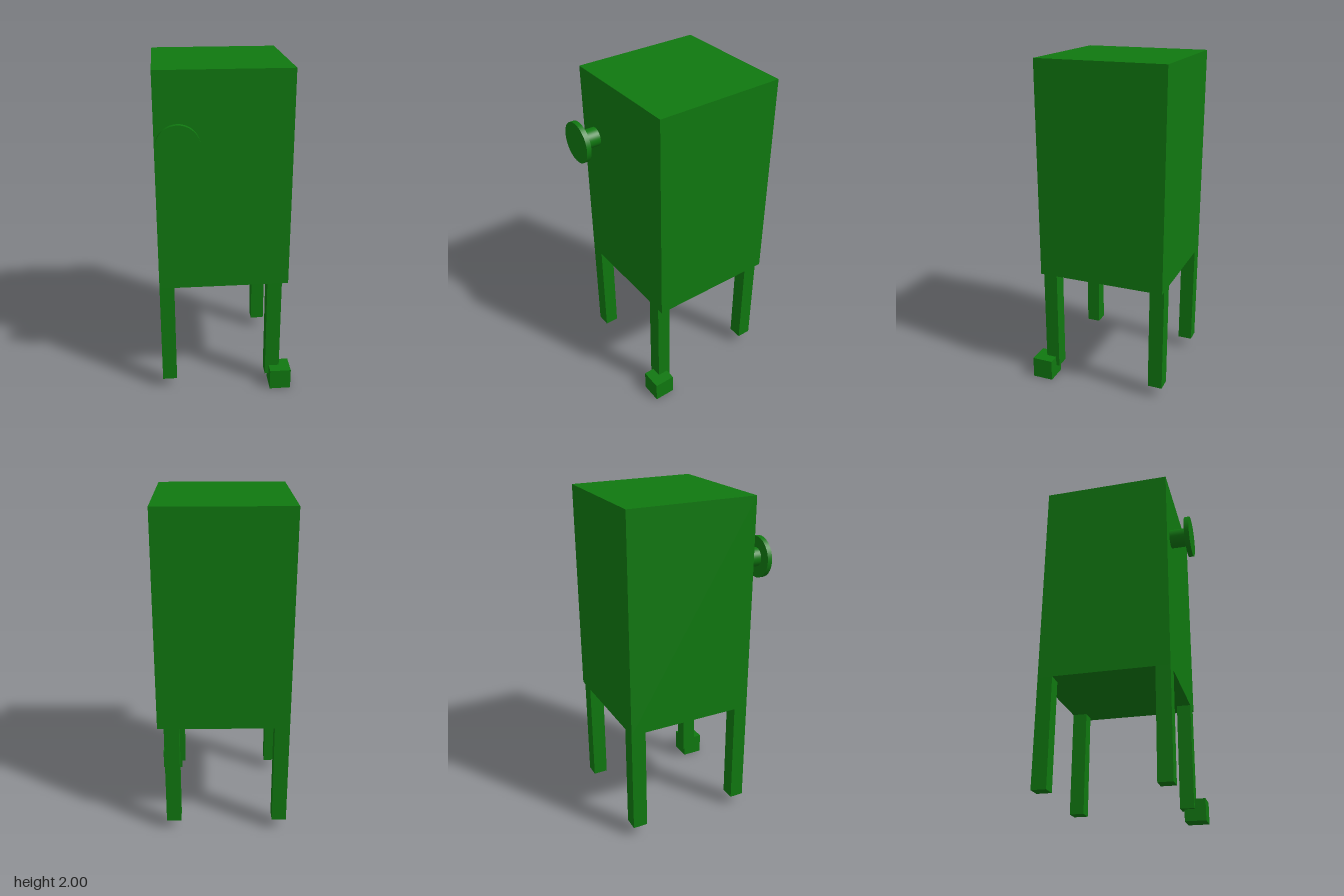
import * as THREE from 'three';

const green = new THREE.MeshStandardMaterial({ color: 0x107810 });

export function createModel() {
  const model = new THREE.Group();

  // Box spanning two opposite corners
  const addBox = (name, [x0, y0, z0], [x1, y1, z1]) => {
    const mesh = new THREE.Mesh(new THREE.BoxGeometry(x1 - x0, y1 - y0, z1 - z0), green);
    mesh.position.set((x0 + x1) / 2, (y0 + y1) / 2, (z0 + z1) / 2);
    mesh.name = name;
    model.add(mesh);
  };

  // Round part lying along z
  const addDisc = (name, radius, z0, z1) => {
    const geometry = new THREE.CylinderGeometry(radius, radius, z1 - z0, 48).rotateX(Math.PI / 2);
    const mesh = new THREE.Mesh(geometry, green);
    mesh.position.set(-0.272, 1.615, (z0 + z1) / 2);
    mesh.name = name;
    model.add(mesh);
  };

  // Cabinet body
  addBox('body', [-0.4, 0.715, -0.45], [0.372, 2, 0.321]);

  // Four legs, the left pair set slightly inwards
  for (const [side, x0, x1] of [['Right', -0.4, -0.312], ['Left', 0.246, 0.334]]) {
    addBox(`front${side}Leg`, [x0, 0.07, 0.236], [x1, 0.715, 0.321]);
    addBox(`back${side}Leg`, [x0, 0.07, -0.45], [x1, 0.715, -0.362]);
  }

  // Single block foot on the front left leg
  addBox('foot', [0.27, 0, 0.258], [0.4, 0.13, 0.386]);

  // Knob on the front
  addDisc('knobStem', 0.056, 0.321, 0.421);
  addDisc('knobCap', 0.122, 0.421, 0.45);

  return model;
}
